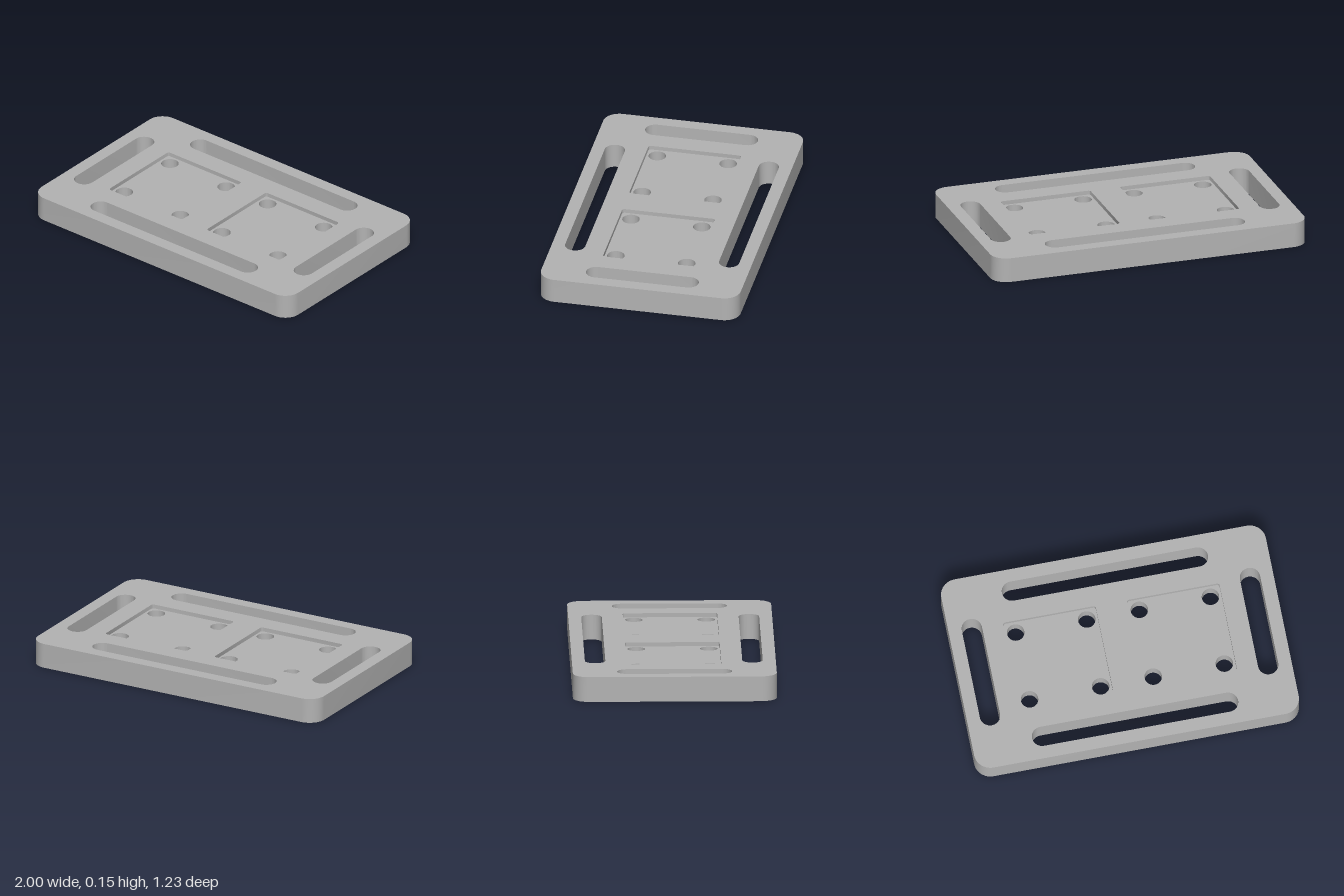
import * as THREE from 'three';
import { toCreasedNormals } from 'three/addons/utils/BufferGeometryUtils.js';

const HEIGHT = 0.154, FLOOR = 0.129, SINK = 0.054; // top, pocket floor, countersink depth

// Counter-clockwise rounded rectangle; also gives circles and slots
function roundRect(cx, cy, hx, hy, r, steps = 12) {
  const pts = [];
  [[1, 1], [-1, 1], [-1, -1], [1, -1]].forEach(([sx, sy], q) => {
    for (let i = 0; i <= steps; i++) {
      const a = (q + i / steps) * Math.PI / 2;
      const p = new THREE.Vector2(
        cx + sx * (hx - r) + r * Math.cos(a), cy + sy * (hy - r) + r * Math.sin(a));
      if (!pts.length || p.distanceTo(pts[pts.length - 1]) > 1e-5) pts.push(p);
    }
  });
  if (pts[0].distanceTo(pts[pts.length - 1]) < 1e-5) pts.pop();
  return pts;
}
const circle = (x, y, r) => roundRect(x, y, r, r, r);

// Horizontal face with holes at height y
function face(outline, holes, y, down = false) {
  const shape = new THREE.Shape(outline);
  holes.forEach(h => shape.holes.push(new THREE.Path(h)));
  return new THREE.ShapeGeometry(shape)
    .rotateX(down ? Math.PI / 2 : -Math.PI / 2).translate(0, y, 0);
}

// Wall between two matching loops; inward walls line a hole
function wall(low, y0, high, y1, inward = false) {
  const pos = [], n = low.length;
  for (let i = 0; i < n; i++) {
    const j = (i + 1) % n;
    const a = [low[i].x, y0, -low[i].y], b = [low[j].x, y0, -low[j].y];
    const c = [high[j].x, y1, -high[j].y], d = [high[i].x, y1, -high[i].y];
    const tris = inward ? [a, c, b, a, d, c] : [a, b, c, a, c, d];
    tris.forEach(v => pos.push(...v));
  }
  const g = new THREE.BufferGeometry();
  g.setAttribute('position', new THREE.Float32BufferAttribute(pos, 3));
  g.computeVertexNormals();
  return toCreasedNormals(g, 0.6);
}

export function createModel() {
  const model = new THREE.Group();
  const grey = new THREE.MeshStandardMaterial({ color: 0xb3b3b3 });
  grey.name = 'plate grey';
  const add = (name, geometry) => {
    const mesh = new THREE.Mesh(geometry, grey);
    mesh.name = name;
    model.add(mesh);
  };

  const outline = roundRect(0, 0, 1, 0.617, 0.1);
  const slots = [], pockets = [], sinks = [];
  for (const s of [-1, 1]) {
    slots.push(roundRect(0, s * 0.476, 0.635, 0.062, 0.062));
    slots.push(roundRect(s * 0.857, 0, 0.062, 0.348, 0.062));
  }

  // Square pockets, each with four countersunk holes
  for (const s of [-1, 1]) {
    const pocket = roundRect(s * 0.381, 0, 0.286, 0.286, 0.016, 5);
    const bores = [];
    for (const dx of [-0.219, 0.219]) for (const y of [-0.219, 0.219]) {
      const x = s * 0.381 + dx;
      const bore = circle(x, y, 0.053), sink = circle(x, y, 0.107);
      bores.push(bore);
      sinks.push(sink);
      add('screwHole', wall(bore, SINK, bore, FLOOR, true));
      add('countersink', wall(sink, 0, bore, SINK, true));
    }
    pockets.push(pocket);
    add('pocketFloor', face(pocket, bores, FLOOR));
    add('pocketWall', wall(pocket, FLOOR, pocket, HEIGHT, true));
  }

  // Plate body and through slots
  add('plateTop', face(outline, [...slots, ...pockets], HEIGHT));
  add('plateBottom', face(outline, [...slots, ...sinks], 0, true));
  add('plateEdge', wall(outline, 0, outline, HEIGHT));
  slots.forEach(s => add('slotWall', wall(s, 0, s, HEIGHT, true)));
  return model;
}
